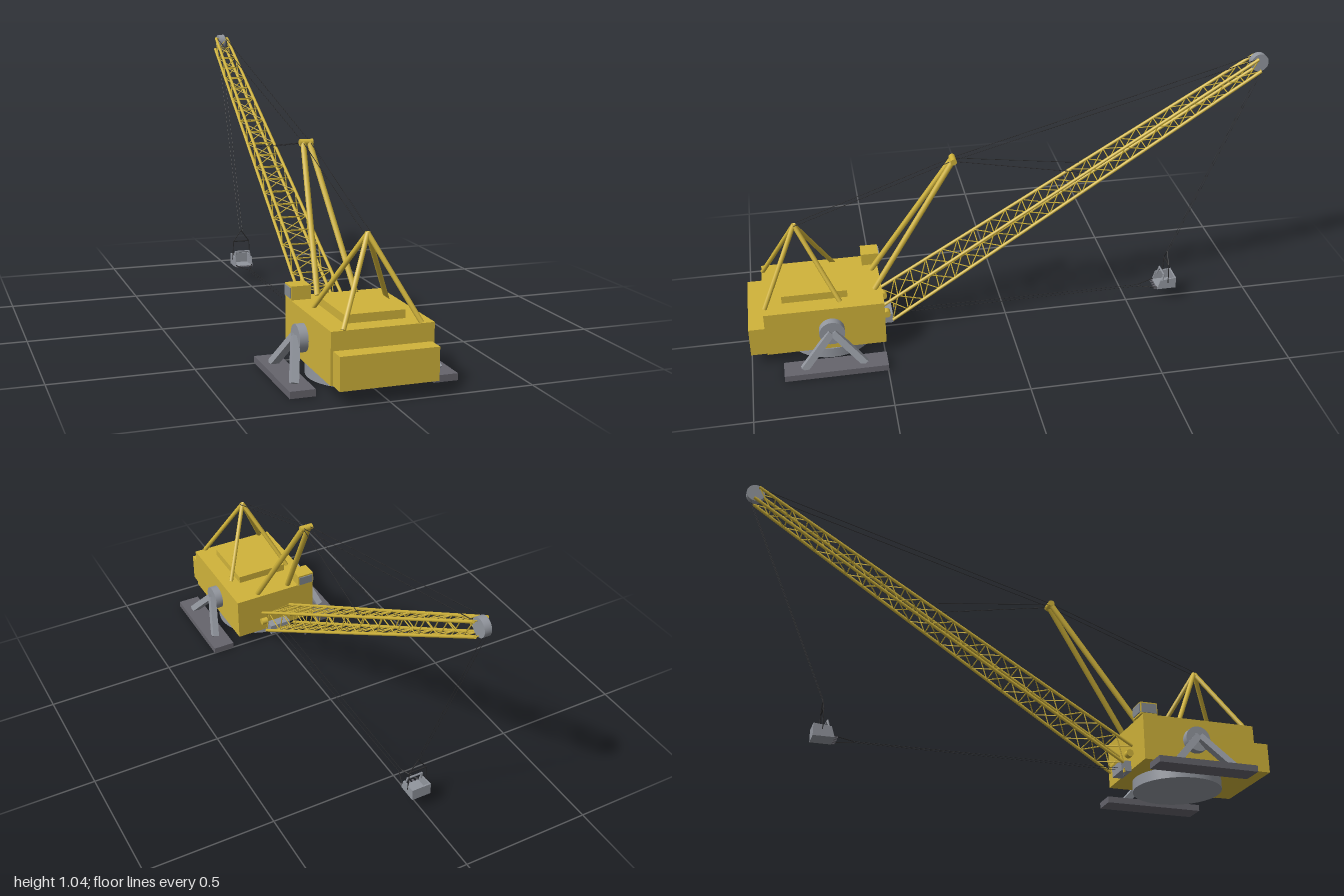
import * as THREE from 'three';

const mat = (name, color, extra = {}) => Object.assign(new THREE.MeshStandardMaterial({ color, ...extra }), { name });
const V = (x, y, z) => new THREE.Vector3(x, y, z);

export function createModel() {
  const yellow = mat('machine yellow', 0xd0b33a);
  const steel = mat('steel grey', 0x92969e);
  const dark = mat('dark steel', 0x65646c);
  const rope = mat('rope black', 0x2b2b2d);
  const glass = mat('window grey', 0x858b92);
  const root = new THREE.Group();
  root.name = 'walkingDragline';

  const group = (name) => {
    const g = new THREE.Group();
    g.name = name;
    root.add(g);
    return g;
  };
  const add = (parent, name, geo, m, x = 0, y = 0, z = 0) => {
    const mesh = new THREE.Mesh(geo, m);
    mesh.name = name;
    mesh.position.set(x, y, z);
    parent.add(mesh);
    return mesh;
  };
  // box given by its limits
  const box = (parent, name, m, x0, x1, y0, y1, z0, z1) =>
    add(parent, name, new THREE.BoxGeometry(x1 - x0, y1 - y0, z1 - z0), m, (x0 + x1) / 2, (y0 + y1) / 2, (z0 + z1) / 2);
  // round bar between two points
  const bar = (parent, name, m, a, b, r, sides = 8) => {
    const mesh = add(parent, name, new THREE.CylinderGeometry(r, r, a.distanceTo(b), sides), m);
    mesh.position.copy(a).lerp(b, 0.5);
    mesh.quaternion.setFromUnitVectors(V(0, 1, 0), b.clone().sub(a).normalize());
    return mesh;
  };
  // cylinder lying along x
  const drum = (parent, name, m, r, w, x, y, z, sides = 28) => {
    const mesh = add(parent, name, new THREE.CylinderGeometry(r, r, w, sides), m, x, y, z);
    mesh.rotation.z = Math.PI / 2;
    return mesh;
  };

  // Base tub and slewing ring
  const base = group('base');
  add(base, 'tub', new THREE.CylinderGeometry(0.167, 0.167, 0.04, 40), steel, 0, 0.02, 0.695);
  add(base, 'slewRing', new THREE.CylinderGeometry(0.045, 0.045, 0.014, 24), steel, 0, 0.045, 0.695);

  // Machinery house
  const house = group('house');
  box(house, 'body', yellow, -0.176, 0.176, 0.05, 0.225, 0.493, 0.94);
  box(house, 'counterweight', yellow, -0.168, 0.168, 0.05, 0.162, 0.94, 1.0);
  box(house, 'roofHousing', yellow, -0.105, 0.105, 0.225, 0.254, 0.625, 0.87);
  box(house, 'fairlead', steel, -0.045, 0.045, 0.045, 0.085, 0.453, 0.493);

  // Operator cab with windows
  const cab = group('cab');
  box(cab, 'cabBody', yellow, -0.175, -0.105, 0.225, 0.273, 0.485, 0.552);
  box(cab, 'frontWindow', glass, -0.171, -0.109, 0.231, 0.267, 0.481, 0.486);
  box(cab, 'sideWindow', glass, -0.178, -0.174, 0.231, 0.267, 0.489, 0.548);

  // Walking gear on both sides
  for (const s of [-1, 1]) {
    const gear = group(s > 0 ? 'leftWalkingGear' : 'rightWalkingGear');
    add(gear, 'shoe', new THREE.BoxGeometry(0.087, 0.024, 0.385), dark, s * 0.247, 0.013, 0.69);
    drum(gear, 'eccentric', steel, 0.048, 0.03, s * 0.194, 0.137, 0.695);
    for (const d of [-1, 1]) {
      const leg = add(gear, 'leg', new THREE.BoxGeometry(0.026, 0.17, 0.026), steel, s * 0.231, 0.082, 0.695 + d * 0.059);
      const dir = V(s * 0.04, -0.115, d * 0.105);
      leg.quaternion.setFromUnitVectors(V(0, -1, 0), dir.normalize());
    }
  }

  // Rear gantry and leaning mast
  const gantry = group('gantry');
  const apex = V(0, 0.497, 0.8);
  const mast = group('mast');
  for (const s of [-1, 1]) {
    for (const z of [0.655, 0.935]) bar(gantry, 'gantryLeg', yellow, V(s * 0.133, 0.225, z), apex, 0.009);
    bar(mast, 'mastLeg', yellow, V(s * 0.07, 0.225, 0.52), V(s * 0.012, 0.71, 0.2), 0.011);
  }
  drum(mast, 'mastHead', yellow, 0.012, 0.05, 0, 0.711, 0.198, 16);

  // Lattice boom: four tapering chords with bracing on every face
  const boom = group('boom');
  const chord = (s, upper, t) => {
    const a = upper ? V(0.064, 0.138, 0.494) : V(0.064, 0.07, 0.455);
    const b = upper ? V(0.025, 1.028, -0.955) : V(0.025, 0.98, -0.97);
    const p = a.lerp(b, t);
    p.x *= s;
    return p;
  };
  const corners = [[-1, 1], [1, 1], [1, 0], [-1, 0]];
  for (const [s, u] of corners) bar(boom, 'chord', yellow, chord(s, u, 0), chord(s, u, 1), 0.0062);
  const bays = 23;
  for (let i = 0; i < bays; i++) {
    const t0 = i / bays, t1 = (i + 1) / bays, flip = i % 2;
    for (const s of [-1, 1])
      bar(boom, 'sideBrace', yellow, chord(s, flip, t0), chord(s, 1 - flip, t1), 0.0024, 5);
    for (const u of [0, 1]) {
      const s = flip ? 1 : -1;
      bar(boom, 'crossBrace', yellow, chord(s, u, t0), chord(-s, u, t1), 0.0022, 5);
      bar(boom, 'crossStrut', yellow, chord(-1, u, t1), chord(1, u, t1), 0.0024, 5);
    }
  }
  for (const s of [-1, 1]) drum(boom, 'footPivot', yellow, 0.014, 0.026, s * 0.064, 0.105, 0.478, 16);
  drum(boom, 'tipSheave', steel, 0.034, 0.026, 0, 1.009, -0.966);

  // Suspension, hoist and drag ropes, in pairs
  const ropes = group('ropes');
  const line = (name, a, b, r = 0.0014) => bar(ropes, name, rope, a, b, r, 5);
  for (const s of [-1, 1]) {
    line('backstay', V(s * 0.012, 0.497, 0.8), V(s * 0.014, 0.713, 0.2));
    line('boomPendant', V(s * 0.014, 0.713, 0.2), V(s * 0.02, 1.028, -0.955));
    line('midPendant', V(s * 0.014, 0.711, 0.2), chord(s, 1, 0.55));
    line('hoistRope', V(s * 0.008, 0.985, -0.985), V(s * 0.006, 0.21, -0.662), 0.001);
    line('dragRope', V(s * 0.012, 0.065, 0.455), V(s * 0.006, 0.064, -0.55), 0.001);
    line('dragChain', V(s * 0.006, 0.064, -0.545), V(s * 0.036, 0.067, -0.625), 0.002);
    line('spreaderChain', V(0, 0.212, -0.662), V(s * 0.034, 0.165, -0.662), 0.002);
    line('bucketChain', V(s * 0.034, 0.165, -0.662), V(s * 0.039, 0.085, -0.662), 0.002);
  }
  line('spreaderBar', V(-0.036, 0.165, -0.662), V(0.036, 0.165, -0.662), 0.003);

  // Open bucket, mouth towards the house
  const bucket = group('bucket');
  box(bucket, 'floor', steel, -0.038, 0.038, 0.06, 0.065, -0.695, -0.618);
  box(bucket, 'backWall', steel, -0.038, 0.038, 0.06, 0.106, -0.695, -0.689);
  for (const s of [-1, 1]) {
    const side = new THREE.Shape([[-0.695, 0.06], [-0.618, 0.06], [-0.63, 0.1], [-0.695, 0.106]].map(p => new THREE.Vector2(-p[0], p[1])));
    const wall = add(bucket, 'sideWall', new THREE.ExtrudeGeometry(side, { depth: 0.005, bevelEnabled: false }), steel, s * 0.036 - 0.0025);
    wall.rotation.y = Math.PI / 2;
    bar(bucket, 'archPost', steel, V(s * 0.035, 0.09, -0.637), V(s * 0.03, 0.122, -0.645), 0.004, 6);
  }
  bar(bucket, 'archBar', steel, V(-0.032, 0.122, -0.645), V(0.032, 0.122, -0.645), 0.004, 6);
  for (let i = -2; i <= 2; i++) {
    const x = i * 0.016;
    box(bucket, 'tooth', dark, x - 0.003, x + 0.003, 0.06, 0.065, -0.618, -0.606);
  }

  // Ground worker for scale
  const worker = group('worker');
  for (const s of [-1, 1]) add(worker, 'leg', new THREE.BoxGeometry(0.003, 0.013, 0.004), dark, -0.11 + s * 0.002, 0.0065, 0.436);
  add(worker, 'torso', new THREE.BoxGeometry(0.009, 0.012, 0.005), yellow, -0.11, 0.019, 0.436);
  add(worker, 'helmet', new THREE.SphereGeometry(0.003, 10, 8), yellow, -0.11, 0.028, 0.436);

  return root;
}
